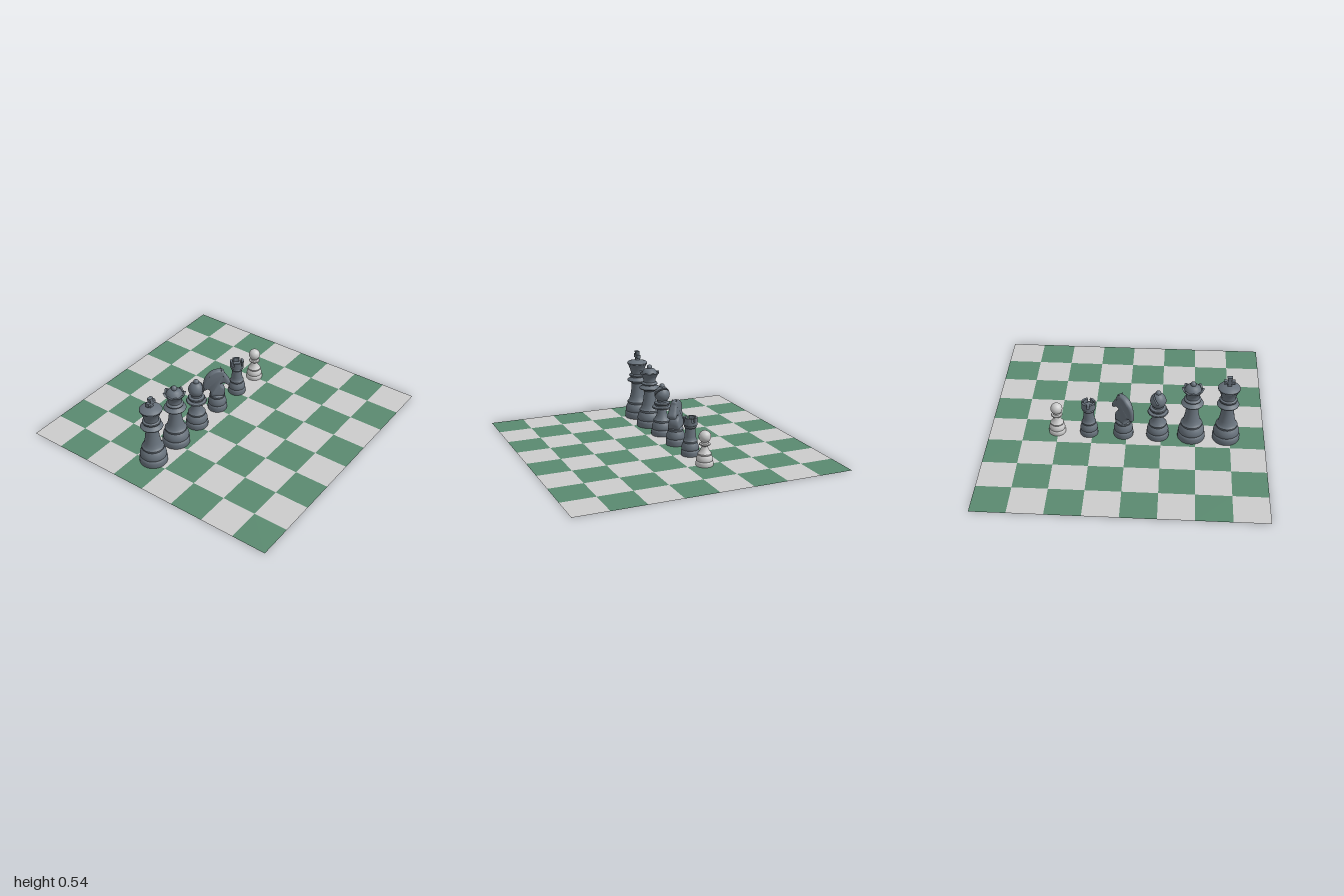
import * as THREE from 'three';
import { toCreasedNormals } from 'three/addons/utils/BufferGeometryUtils.js';

const slate = new THREE.MeshStandardMaterial({ color: 0x68727c, side: THREE.DoubleSide });
const pale = new THREE.MeshStandardMaterial({ color: 0xcccccc, side: THREE.DoubleSide });
const green = new THREE.MeshStandardMaterial({ color: 0x5a8a70, side: THREE.DoubleSide });

// Pieces are built in hundredths of a unit, then scaled down
function piece(name, x, ...parts) {
  const g = new THREE.Group();
  g.name = name;
  g.add(...parts);
  g.scale.setScalar(0.01);
  g.position.set(x, 0, -0.125);
  return g;
}

function part(name, geometry, material = slate, x = 0, y = 0, z = 0) {
  const m = new THREE.Mesh(geometry, material);
  m.name = name;
  m.position.set(x, y, z);
  return m;
}

const crease = (g) => toCreasedNormals(g, 0.6);
const ball = (r) => new THREE.SphereGeometry(r, 32, 20);

function lathe(points, segments = 48) {
  return new THREE.LatheGeometry(points.map(([r, y]) => new THREE.Vector2(r, y)), segments);
}

// Stepped foot shared by every piece: radius R, height H
function foot(R, H) {
  return [[0, 0], [0.98, 0], [1, 0.04], [1, 0.24], [0.96, 0.32], [0.9, 0.36], [0.94, 0.4],
    [0.95, 0.48], [0.91, 0.6], [0.83, 0.72], [0.75, 0.79], [0.79, 0.83], [0.79, 0.9],
    [0.72, 0.95], [0.66, 1]].map(([r, y]) => [r * R, y * H]);
}

function king() {
  const body = lathe([...foot(9.9, 14.5), [5.7, 17.5], [5, 21], [4.6, 25], [4.5, 28], [5.4, 28.7],
    [7.6, 29.9], [7.9, 30.5], [7.6, 31.1], [6, 32], [5.3, 33], [6.3, 33.8], [6.5, 34.4], [6.2, 35],
    [4.9, 35.7], [4.9, 36.5], [5.8, 39.5], [7.2, 43.2], [7.8, 43.7], [7.9, 44.6], [7.3, 45.3],
    [4, 46.2], [2.3, 46.8], [0, 47]]);
  // One quarter-turn arm of the cross, drawn four times with flared ends
  const s = new THREE.Shape([[-1.9, 46], [1.9, 46], [1.2, 48.7], [3.8, 48.2], [3.8, 51.2], [1.2, 50.7],
    [1.9, 53.9], [-1.9, 53.9], [-1.2, 50.7], [-3.8, 51.2], [-3.8, 48.2], [-1.2, 48.7]]
    .map(([x, y]) => new THREE.Vector2(x, y)));
  const cross = new THREE.ExtrudeGeometry(s, { depth: 2, bevelSize: 0.2, bevelOffset: -0.2, bevelThickness: 0.4, bevelSegments: 1 });
  return piece('king', -0.72, part('kingBody', crease(body)), part('kingCross', crease(cross), slate, 0, 0, -1));
}

function queen() {
  const body = lathe([...foot(9.9, 14.5), [5.6, 17.5], [4.9, 21], [4.4, 25], [4.3, 28], [5.2, 28.7],
    [7.7, 29.8], [8, 30.4], [7.6, 31], [5.8, 31.8], [5.1, 32.7], [6, 33.3], [6.2, 33.9], [5.9, 34.5],
    [4.7, 35.2], [4.6, 36.5], [5, 38], [5.8, 40], [6.5, 41.2], [6, 42], [5.3, 43.6], [4, 45],
    [2, 45.8], [0, 46]]);
  // Coronet: the rim is scalloped into points
  const coronet = lathe([[5.4, 39], [6.5, 41], [8, 43.2], [6.6, 43.2], [5.4, 41]], 64);
  const p = coronet.attributes.position;
  for (let i = 0; i < p.count; i++) {
    if (p.getY(i) < 42) continue;
    const dip = (1 - Math.cos(8 * Math.atan2(p.getX(i), p.getZ(i)))) / 2;
    p.setXYZ(i, p.getX(i) * (1 - 0.09 * dip), p.getY(i) - 1.3 * dip, p.getZ(i) * (1 - 0.09 * dip));
  }
  return piece('queen', -0.468, part('queenBody', crease(body)), part('queenCoronet', crease(coronet)),
    part('queenFinial', ball(2), slate, 0, 46.6));
}

// Egg lofted along z from round sections, each with a slanted slot of constant width
function slottedHead(R, slot, tilt) {
  const rows = 25, arc = 44, n = arc + 3, pos = [], idx = [];
  for (let i = 0; i < rows; i++) {
    const t = (i / (rows - 1) * 2 - 1) * 1.465;
    const r = R * Math.cos(t), a0 = Math.asin(slot / 2 / r);
    for (let j = 0; j < n; j++) {
      const a = a0 + (j / arc) * 2 * (Math.PI - a0);
      const u = j <= arc ? r * Math.cos(a) : -0.5 * r;
      const v = j <= arc ? r * Math.sin(a) : (j === arc + 1 ? -slot / 2 : slot / 2);
      const x = u * Math.cos(tilt) - v * Math.sin(tilt);
      const y = u * Math.sin(tilt) + v * Math.cos(tilt);
      const taper = 1 - 0.12 * Math.max(0, y / R);
      pos.push(x * taper, y * 1.06, R * Math.sin(t) * taper);
      if (i < rows - 1) {
        const k = i * n + j, l = i * n + (j + 1) % n;
        idx.push(k, l, l + n, k, l + n, k + n);
      }
    }
  }
  const g = new THREE.BufferGeometry();
  g.setAttribute('position', new THREE.Float32BufferAttribute(pos, 3));
  g.setIndex(idx);
  return crease(g);
}

function bishop() {
  const body = lathe([...foot(8.2, 13), [4.3, 15], [3.6, 17.5], [3.3, 19.8], [4.5, 20.3], [7.2, 21],
    [7.5, 21.5], [7.1, 22.1], [5.2, 22.7], [4.8, 23.4], [5.9, 24], [6.2, 24.6], [5.8, 25.2],
    [4, 25.8], [3.7, 27], [0, 27.2]]);
  return piece('bishop', -0.225, part('bishopBody', crease(body)),
    part('bishopHead', slottedHead(5.8, 1.1, 0.89), slate, 0, 31.6),
    part('bishopFinial', ball(2), slate, 0, 37.7));
}

function knight() {
  const base = lathe([...foot(7.2, 13.5), [3.5, 14.2], [0, 14.4]]);
  // Side outline of neck, muzzle and mane
  const s = new THREE.Shape();
  s.moveTo(5, 12.5);
  s.splineThru([[5.7, 16], [5, 19], [3, 21.3], [2.6, 22.7], [5, 22.8], [7.4, 21.2], [9.2, 21.8], [9.6, 24],
    [7.6, 27.5], [5.6, 31], [4.5, 33.4], [0, 34], [-4.5, 32.4], [-8.5, 28.4], [-10.2, 24], [-10.6, 18.8],
    [-9.4, 16.6], [-7, 18], [-5.4, 15.5], [-5, 12.5]].map(([x, y]) => new THREE.Vector2(x, y)));
  const head = new THREE.ExtrudeGeometry(s, { depth: 1, curveSegments: 60, bevelThickness: 2, bevelSize: 1.3, bevelOffset: -1.3, bevelSegments: 5 });
  head.translate(0, 0, -0.5);
  // Thick at the base, thin at the ears, muzzle and mane
  const p = head.attributes.position;
  for (let i = 0; i < p.count; i++) {
    const up = THREE.MathUtils.clamp((p.getY(i) - 13) / 21, 0, 1);
    const mane = THREE.MathUtils.smoothstep(-p.getX(i), 4, 11);
    p.setZ(i, p.getZ(i) * (1.75 - 0.85 * up) * (1 - 0.6 * mane));
  }
  const g = piece('knight', 0.024, part('knightBase', crease(base)), part('knightHead', toCreasedNormals(head, 0.8)));
  for (const side of [-1, 1]) {
    const ear = part('knightEar', new THREE.ConeGeometry(1.1, 4, 12), slate, 3, 33.4, side * 1.5);
    ear.rotation.x = side * 0.15;
    g.add(ear, part('knightEye', ball(0.6), slate, 4.3, 29.5, side * 2.3));
  }
  g.rotation.y = -Math.PI / 4;
  return g;
}

function rook() {
  const body = lathe([...foot(6.6, 12), [4.1, 14], [3.8, 17], [3.6, 20], [4.2, 20.5], [4.6, 21.2],
    [4.2, 21.9], [4.4, 22.3], [5.1, 22.6], [5.1, 24.8], [0, 24.8]]);
  const g = piece('rook', 0.275, part('rookBody', crease(body)));
  // Four battlements with gaps to the front, back and sides
  const gap = 0.2;
  const s = new THREE.Shape();
  s.absarc(0, 0, 5.1, gap, Math.PI / 2 - gap, false);
  s.absarc(0, 0, 3.5, Math.PI / 2 - gap, gap, true);
  const block = new THREE.ExtrudeGeometry(s, { depth: 3.3, bevelEnabled: false, curveSegments: 12 });
  block.rotateX(-Math.PI / 2);
  for (let i = 0; i < 4; i++) {
    const m = part('rookBattlement', block, slate, 0, 24.6);
    m.rotation.y = i * Math.PI / 2;
    g.add(m);
  }
  return g;
}

function pawn() {
  const body = lathe([...foot(6.1, 9.8), [3.2, 11], [2.5, 12.6], [2.2, 14], [2.7, 14.5], [3.9, 15],
    [4.1, 15.4], [3.8, 15.9], [2.7, 16.3], [2.3, 17.2], [0, 17.6]]);
  return piece('pawn', 0.508, part('pawnBody', crease(body), pale), part('pawnHead', ball(4.3), pale, 0, 20.8));
}

// Flat board of 8 by 8 squares
function board() {
  const g = new THREE.Group();
  g.name = 'board';
  const square = new THREE.PlaneGeometry(0.25, 0.25).rotateX(-Math.PI / 2);
  for (let i = 0; i < 8; i++) {
    for (let j = 0; j < 8; j++) {
      const dark = (i + j) % 2 === 1;
      g.add(part(dark ? 'darkSquare' : 'lightSquare', square, dark ? green : pale, i * 0.25 - 0.875, 0, j * 0.25 - 0.875));
    }
  }
  return g;
}

export function createModel() {
  const model = new THREE.Group();
  model.name = 'chessSet';
  model.add(board(), king(), queen(), bishop(), knight(), rook(), pawn());
  return model;
}
